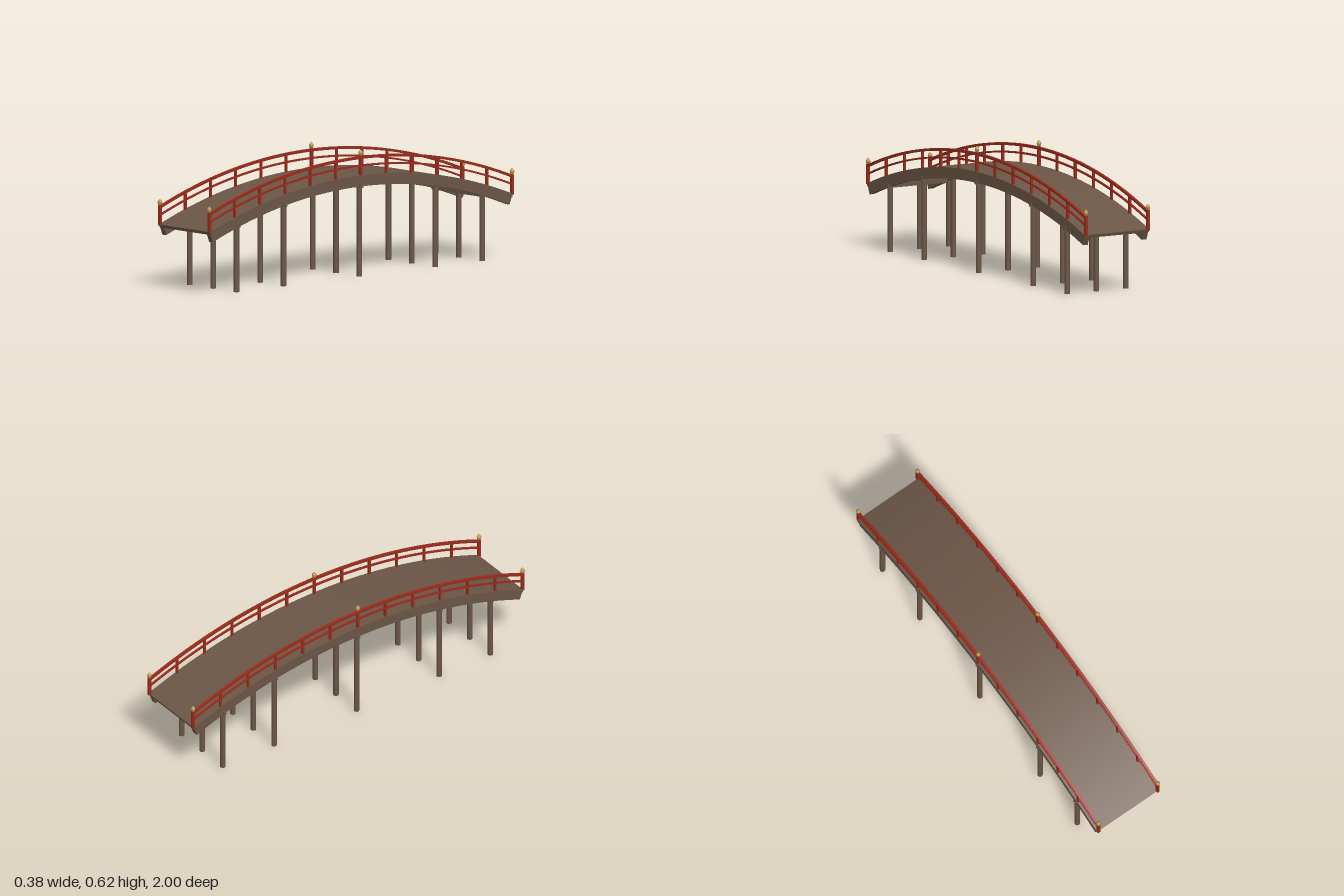
import * as THREE from 'three';
import { toCreasedNormals } from 'three/addons/utils/BufferGeometryUtils.js';

const HALF = 0.988;      // half length of the span
const TOP = 0.494;       // deck height at the crown
const RADIUS = 2.744;    // radius of the arch
const RAIL_X = 0.1765;
const BEAM_X = 0.167;

const deckY = (z) => TOP - RADIUS + Math.sqrt(RADIUS * RADIUS - z * z);

// Curved bar following the arch, between two offsets from the deck surface
function archBar(low, high, width, radial) {
  const n = 48;
  const at = (i, offset) => {
    const z = -HALF + (2 * HALF * i) / n;
    const a = radial ? Math.asin(z / RADIUS) : 0;
    return new THREE.Vector2(z + offset * Math.sin(a), deckY(z) + offset * Math.cos(a));
  };
  const points = [];
  for (let i = 0; i <= n; i++) points.push(at(i, low));
  for (let i = n; i >= 0; i--) points.push(at(i, high));
  const geo = new THREE.ExtrudeGeometry(new THREE.Shape(points), { depth: width, bevelEnabled: false });
  geo.translate(0, 0, -width / 2);
  geo.rotateY(-Math.PI / 2);
  return toCreasedNormals(geo, 0.5);
}

export function createModel() {
  const model = new THREE.Group();
  model.name = 'archedBridge';

  const material = (name, color) => {
    const m = new THREE.MeshStandardMaterial({ color });
    m.name = name;
    return m;
  };
  const wood = material('brownWood', 0x6b5646);
  const red = material('redLacquer', 0x9a2b1c);
  const gold = material('gold', 0xb8944a);

  const add = (name, geometry, mat, x = 0, y = 0, z = 0) => {
    const mesh = new THREE.Mesh(geometry, mat);
    mesh.name = name;
    mesh.position.set(x, y, z);
    model.add(mesh);
  };

  // Deck and the two side girders beneath it
  add('deck', archBar(-0.016, 0, 0.368, true), wood);
  const girder = archBar(-0.055, -0.014, 0.027, true);
  for (const s of [-1, 1]) add('girder', girder, wood, s * BEAM_X);

  // Rows of three columns, each under a cross beam
  for (const z of [-0.802, -0.495, 0, 0.495, 0.802]) {
    const y = deckY(z) - 0.052;
    for (const x of [-BEAM_X, 0, BEAM_X]) {
      add('column', new THREE.CylinderGeometry(0.0135, 0.0135, y, 16), wood, x, y / 2, z);
    }
    add('crossBeam', new THREE.BoxGeometry(0.37, 0.02, 0.02), wood, 0, y, z);
  }

  // Onion-shaped post cap
  const finial = new THREE.LatheGeometry([
    [0, 0], [0.006, 0], [0.0085, 0.005], [0.0108, 0.011], [0.0112, 0.017],
    [0.0092, 0.0225], [0.0045, 0.028], [0, 0.033],
  ].map(([r, y]) => new THREE.Vector2(r, y)), 16);

  // Railings
  const handrail = archBar(0.079, 0.092, 0.013, false);
  const midRail = archBar(0.042, 0.051, 0.009, false);
  for (const s of [-1, 1]) {
    const x = s * RAIL_X;
    add('handrail', handrail, red, x);
    add('midRail', midRail, red, x);
    for (let i = -6; i <= 6; i++) {
      const z = (i / 6) * HALF;
      const main = i % 6 === 0;
      const height = main ? 0.098 : 0.09;
      const size = main ? 0.0135 : 0.011;
      add(main ? 'mainPost' : 'railPost', new THREE.BoxGeometry(size, height, size), red,
        x, deckY(z) - 0.004 + height / 2, z);
      if (main) add('finial', finial, gold, x, deckY(z) + 0.093, z);
    }
  }
  return model;
}
